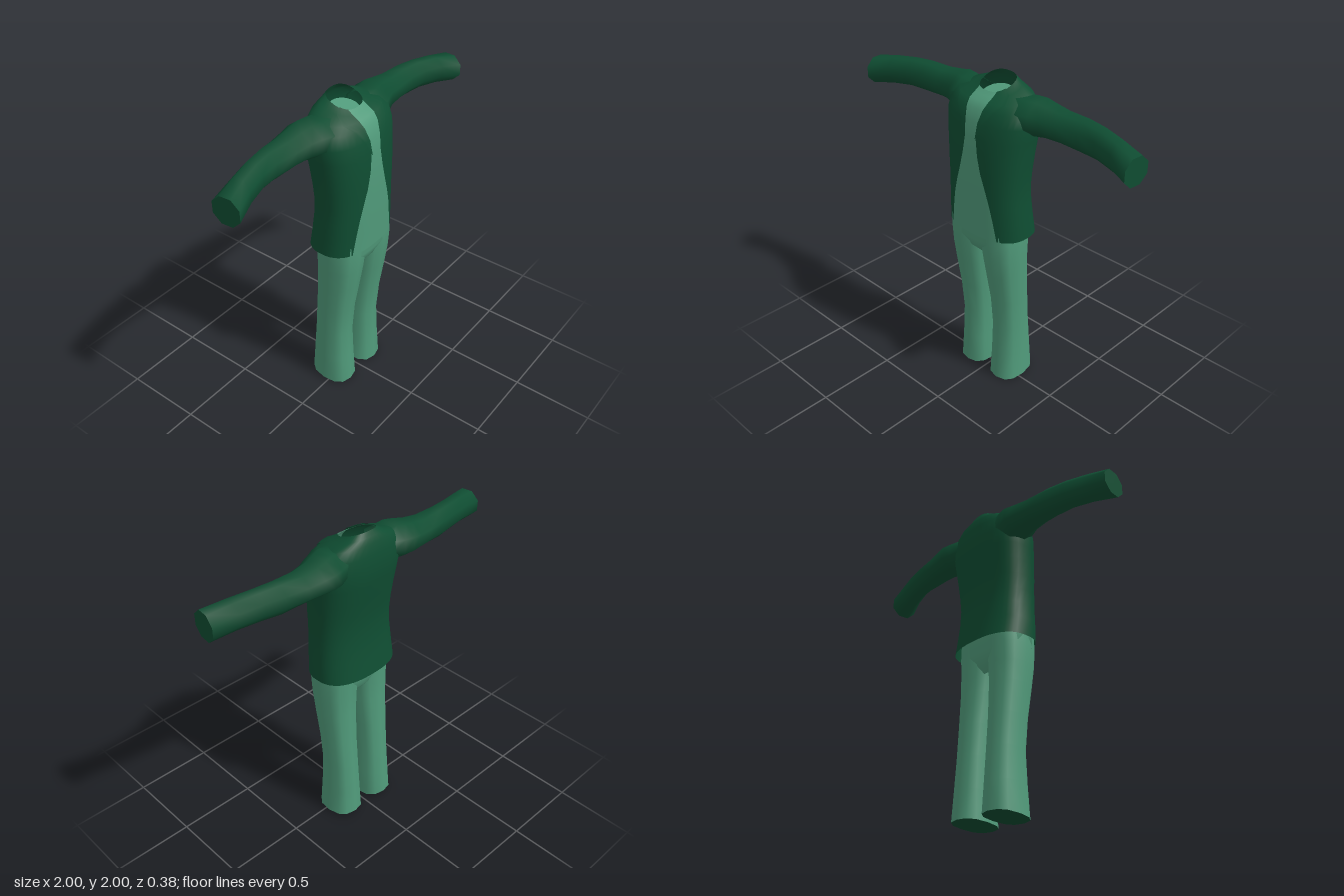
import * as THREE from 'three';

const jacketGreen = new THREE.MeshStandardMaterial({ color: 0x0f4d32, side: THREE.DoubleSide });
const paleGreen = new THREE.MeshStandardMaterial({ color: 0x509a7a, side: THREE.DoubleSide });
jacketGreen.name = 'jacketGreen';
paleGreen.name = 'paleGreen';

// Signed power, used for rounded-square cross-sections
const spow = (v, e) => Math.sign(v) * Math.abs(v) ** e;

// Skin rows of points into a smooth surface
function skin(rows, closed = true) {
  const n = rows[0].length, pos = [], idx = [];
  rows.forEach(r => r.forEach(p => pos.push(...p)));
  for (let i = 0; i < rows.length - 1; i++) {
    for (let j = 0; j < (closed ? n : n - 1); j++) {
      const k = (j + 1) % n;
      const a = i * n + j, b = i * n + k, c = b + n, d = a + n;
      idx.push(a, b, c, a, c, d);
    }
  }
  const g = new THREE.BufferGeometry();
  g.setAttribute('position', new THREE.Float32BufferAttribute(pos, 3));
  g.setIndex(idx);
  g.computeVertexNormals();
  return g;
}

// Mirrored copy across x with the winding turned round
function mirror(geo) {
  const g = geo.clone().scale(-1, 1, 1);
  const a = g.index.array;
  for (let i = 0; i < a.length; i += 3) [a[i], a[i + 1]] = [a[i + 1], a[i]];
  g.computeVertexNormals();
  return g;
}

const centreRow = ring => {
  const c = [0, 1, 2].map(k => ring.reduce((s, p) => s + p[k], 0) / ring.length);
  return ring.map(() => c);
};
const angles = (n, from = 0, to = Math.PI * 2, ends = false) =>
  Array.from({ length: ends ? n + 1 : n }, (_, i) => from + (to - from) * i / n);

// Horizontal section point: front height, back height, x range, z range
function section(t, [yf, yb, x0, x1, zf, zb], p) {
  const s = spow(Math.sin(t), 2 / p), c = spow(Math.cos(t), 2 / p);
  return [(x0 + x1) / 2 + s * (x1 - x0) / 2,
    (yf + yb) / 2 + c * (yf - yb) / 2,
    (zf + zb) / 2 + c * (zf - zb) / 2];
}

// Torso rings: front y, back y, half width, front z, back z, shirt half width
const TORSO = [
  [1.08, 1.08, .278, .185, -.175, .18],
  [1.20, 1.20, .272, .187, -.155, .16],
  [1.30, 1.30, .264, .190, -.145, .14],
  [1.40, 1.40, .262, .190, -.140, .112],
  [1.50, 1.50, .268, .190, -.148, .08],
  [1.60, 1.60, .275, .187, -.162, .056],
  [1.70, 1.70, .285, .181, -.177, .042],
  [1.79, 1.79, .296, .168, -.187, .05],
  [1.86, 1.88, .285, .142, -.178, .064],
  [1.895, 1.94, .230, .112, -.163, .072],
  [1.915, 1.972, .145, .078, -.146, .072],
  [1.935, 2.0, .100, .050, -.130, .07],
];
const POWER = 2.5;
const torsoPoint = ([yf, yb, w, zf, zb], t) => section(t, [yf, yb, -w, w, zf, zb], POWER);
const edgeAngle = (w, x) => Math.asin(Math.min(1, x / w) ** (POWER / 2));

export function createModel() {
  const root = new THREE.Group();
  root.name = 'suit';
  const add = (name, geo, mat, parent = root) => {
    const m = new THREE.Mesh(geo, mat);
    m.name = name;
    parent.add(m);
  };
  const pair = (name, geo, mat) => {
    add(name + 'Left', geo, mat);
    add(name + 'Right', mirror(geo), mat);
  };

  // Jacket body and the shirt panel between its open fronts
  add('jacketBody', skin(TORSO.map(r => {
    const e = edgeAngle(r[2], r[5]);
    return angles(36, e, Math.PI * 2 - e, true).map(t => torsoPoint(r, t));
  }), false), jacketGreen);
  add('shirtFront', skin(TORSO.map(r => {
    const e = edgeAngle(r[2], r[5]);
    return angles(10, -e, e, true).map(t => torsoPoint(r, t));
  }), false), paleGreen);

  // Shirt filling the neck opening
  const neck = angles(20).map(t => section(t, [1.87, 1.92, -.1, .1, .05, -.125], 2));
  add('shirtNeck', skin([neck, centreRow(neck)]), paleGreen);

  // Lapels: thin strips lying just proud of the jacket edge
  const lapelWidth = [.004, .035, .07, .1, .07, .03];
  const lapel = skin(lapelWidth.map((lw, i) => {
    const r = TORSO[i + 6];
    return angles(4, edgeAngle(r[2], r[5]), edgeAngle(r[2], Math.min(r[5] + lw, r[2] * .96)), true).map(t => {
      const [x, y, z] = torsoPoint(r, t);
      return [x, y + .004, z + .008];
    });
  }), false);
  pair('lapel', lapel, jacketGreen);

  // Sleeves: x, top, bottom, back, front
  const sleeveRows = [
    [.16, 1.925, 1.76, -.150, .070],
    [.24, 1.932, 1.73, -.178, .080],
    [.30, 1.928, 1.735, -.190, .055],
    [.36, 1.915, 1.74, -.182, .030],
    [.46, 1.902, 1.742, -.170, .015],
    [.60, 1.904, 1.735, -.150, .002],
    [.72, 1.900, 1.738, -.127, .015],
    [.85, 1.888, 1.728, -.097, .050],
    [1.0, 1.865, 1.705, -.068, .100],
  ].map(([x, top, bot, back, front]) => angles(8).map(t => {
    const s = Math.sin(t + Math.PI / 8) / .924, c = Math.cos(t + Math.PI / 8) / .924;
    return [x - (x === 1 ? .008 * (1 + s) : 0), (top + bot) / 2 + c * (top - bot) / 2,
      (back + front) / 2 + s * (front - back) / 2];
  }));
  pair('sleeve', skin(sleeveRows), jacketGreen);
  const cuff = sleeveRows.at(-1);
  pair('cuffEnd', skin([cuff, centreRow(cuff)]), jacketGreen);

  // Trouser legs: front y, back y, inner x, outer x, front z, back z
  const legRows = [
    [.002, .025, .018, .242, .107, -.167],
    [.20, .20, .026, .232, .095, -.155],
    [.40, .40, .030, .226, .087, -.140],
    [.60, .60, .027, .231, .105, -.125],
    [.80, .80, .014, .240, .138, -.112],
    [.93, .93, .003, .246, .158, -.110],
    [1.05, 1.05, -.01, .250, .168, -.114],
    [1.18, 1.18, -.02, .245, .168, -.114],
  ].map(r => angles(12).map(t => section(t, r, 2.5)));
  pair('trouserLeg', skin(legRows), paleGreen);
  pair('trouserHem', skin([centreRow(legRows[0]), legRows[0]]), jacketGreen);

  // Hips bridging the two legs
  add('trouserHips', skin([
    [.91, .91, -.08, .08, .09, -.06],
    [.96, .96, -.17, .17, .140, -.095],
    [1.03, 1.03, -.245, .245, .168, -.114],
    [1.18, 1.18, -.248, .248, .170, -.116],
  ].map(r => angles(24).map(t => section(t, r, 3)))), paleGreen);

  return root;
}
